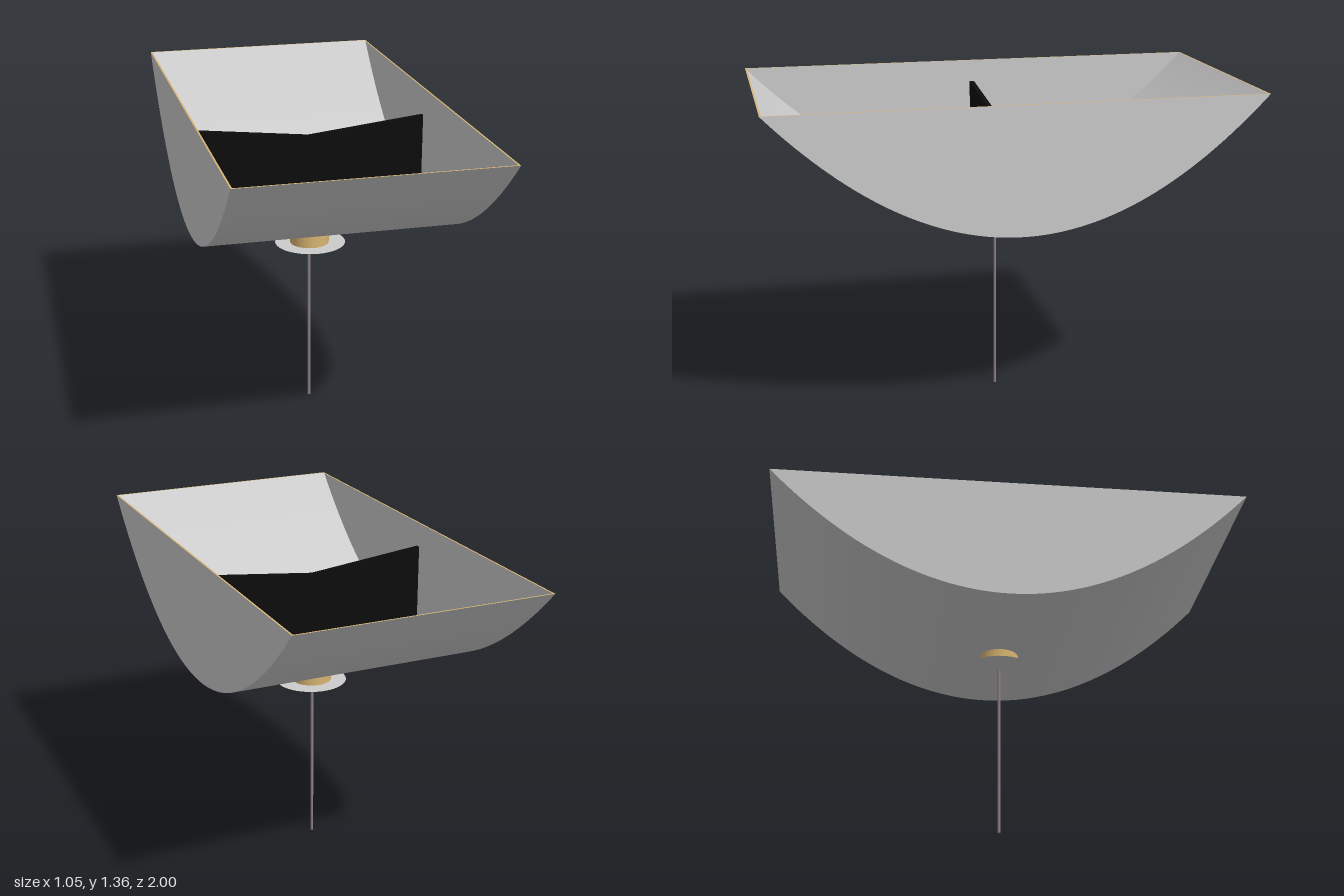
import * as THREE from 'three';

const HALF_X = 0.523, BASE = 0.83, TOP = 1.355;
const curveY = (z) => BASE + (TOP - BASE) * z * z;

export function createModel() {
  const model = new THREE.Group();
  const grey = new THREE.MeshStandardMaterial({ color: 0xcccccc, side: THREE.DoubleSide });
  const gold = new THREE.MeshStandardMaterial({ color: 0xd8b470, side: THREE.DoubleSide });
  const black = new THREE.MeshStandardMaterial({ color: 0x0c0c0c });
  const steel = new THREE.MeshStandardMaterial({ color: 0x8c8085 });

  const add = (name, geometry, material, x = 0, y = 0, z = 0) => {
    const mesh = new THREE.Mesh(geometry, material);
    mesh.name = name;
    mesh.position.set(x, y, z);
    model.add(mesh);
    return mesh;
  };

  // Parabolic trough floor
  const floor = new THREE.PlaneGeometry(HALF_X * 2, 2, 1, 64).rotateX(-Math.PI / 2);
  const pos = floor.attributes.position;
  for (let i = 0; i < pos.count; i++) pos.setY(i, curveY(pos.getZ(i)));
  floor.computeVertexNormals();
  add('troughFloor', floor, grey);

  // Flat end walls closing the trough
  const outline = [];
  for (let i = 0; i <= 64; i++) {
    const z = -1 + i / 32;
    outline.push(new THREE.Vector2(z, curveY(z)));
  }
  const wall = new THREE.ShapeGeometry(new THREE.Shape(outline)).rotateY(-Math.PI / 2);
  for (const side of [-1, 1]) {
    add(side > 0 ? 'leftWall' : 'rightWall', wall, grey, side * HALF_X);
  }

  // Thin rim strips lying on the top edges
  const rim = 0.007;
  for (const side of [-1, 1]) {
    const long = new THREE.PlaneGeometry(rim, 2).rotateX(-Math.PI / 2);
    add('sideRim', long, gold, side * (HALF_X - rim / 2), TOP);
    const short = new THREE.PlaneGeometry(HALF_X * 2, rim).rotateX(-Math.PI / 2);
    add('endRim', short, gold, 0, TOP, side * (1 - rim / 2));
  }

  // Upright divider: two halves rising gently from the centre
  const dip = 0.055, height = 0.375, reach = 0.495, bottom = 0.832;
  const chevron = new THREE.Shape([
    new THREE.Vector2(0, bottom),
    new THREE.Vector2(reach, bottom + dip),
    new THREE.Vector2(reach, bottom + dip + height),
    new THREE.Vector2(0, bottom + height),
    new THREE.Vector2(-reach, bottom + dip + height),
    new THREE.Vector2(-reach, bottom + dip),
  ]);
  const divider = new THREE.ExtrudeGeometry(chevron, { depth: 0.02, bevelEnabled: false });
  add('divider', divider, black, -0.005, 0, -0.015);

  // Mount: gold hub on a thin plate, with a small ring and stem above
  add('hub', new THREE.CylinderGeometry(0.083, 0.083, 0.063, 48), gold, -0.003, 0.767);
  add('hubPlate', new THREE.CircleGeometry(0.15, 48).rotateX(-Math.PI / 2), grey, 0, 0.735);
  add('ring', new THREE.TorusGeometry(0.017, 0.012, 12, 24).rotateX(Math.PI / 2), steel, 0, 0.811, 0.015);
  add('stem', new THREE.CylinderGeometry(0.006, 0.006, 0.036, 16), steel, 0, 0.814);

  // Pole
  add('pole', new THREE.CylinderGeometry(0.006, 0.006, 0.737, 16), steel, -0.005, 0.3685);

  return model;
}
